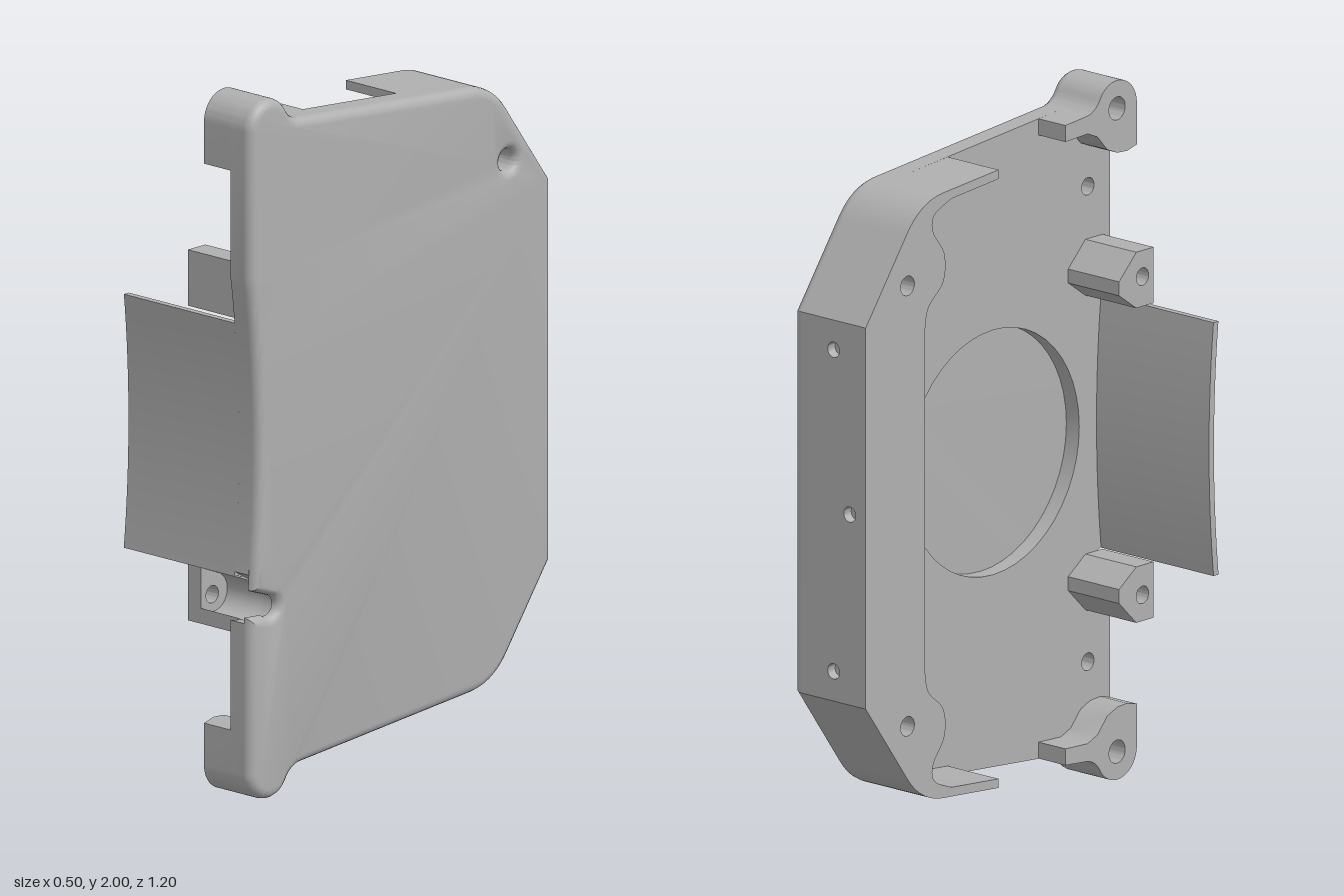
import * as THREE from 'three';
import { toCreasedNormals } from 'three/addons/utils/BufferGeometryUtils.js';

// Profiles are drawn as [-z, y] and extruded along x.
const grey = new THREE.MeshStandardMaterial({ color: 0xb0b0b0 });
grey.name = 'grey plastic';

const flip = (pts) => pts.map(([a, y]) => [a, 2 - y]).reverse();
const pairs = (vectors) => vectors.map((v) => [v.x, v.y]);

function makeShape(pts, holes = []) {
  const shape = new THREE.Shape(pts.map(([a, y]) => new THREE.Vector2(a, y)));
  for (const [a, y, r] of holes) shape.holes.push(new THREE.Path().absarc(a, y, r, 0, Math.PI * 2));
  return shape;
}

function slab(name, pts, x0, x1, holes) {
  let geo = new THREE.ExtrudeGeometry(makeShape(pts, holes), { depth: x1 - x0, bevelEnabled: false, curveSegments: 24 });
  geo = toCreasedNormals(geo, 0.5);
  geo.rotateY(Math.PI / 2).translate(x0, 0, 0);
  const mesh = new THREE.Mesh(geo, grey);
  mesh.name = name;
  return mesh;
}

// Upper half of the plate outline, from the middle of the front edge to the back
function upperOutline() {
  const p = new THREE.Path();
  p.moveTo(-0.565, 1);
  p.quadraticCurveTo(-0.565, 1.25, -0.6, 1.5);
  p.lineTo(-0.6, 1.92);
  p.absarc(-0.52, 1.92, 0.08, Math.PI, 0.5, true);
  p.quadraticCurveTo(-0.43, 1.925, -0.39, 1.922);
  p.lineTo(0.29, 1.865);
  p.quadraticCurveTo(0.38, 1.855, 0.435, 1.775);
  p.lineTo(0.6, 1.545);
  return pairs(p.getPoints(14));
}

// Open screw slot in the front edge
function slot(r, frontLow, frontHigh) {
  const pts = [[frontLow, 0.55 - r * 0.65]];
  for (let i = 0; i <= 14; i++) {
    const t = -2.2 + (3.25 * i) / 14;
    pts.push([-0.52 + r * Math.cos(t), 0.55 + r * Math.sin(t)]);
  }
  pts.push([frontHigh, 0.55 + r * 1.8]);
  return pts;
}

export function createModel() {
  const model = new THREE.Group();
  model.name = 'sideCover';
  const half = upperOutline();
  const lower = flip(half);
  const outline = (r) => [
    ...half,
    ...lower.filter(([, y]) => y <= 0.505),
    ...slot(r, -0.6, -0.583),
    ...lower.filter(([, y]) => y > 0.66 && y < 0.999),
  ];

  // Plate with a round recess on its inner side
  model.add(slab('innerPlate', outline(0.055), 0.17, 0.222, [
    [-0.125, 1, 0.35], [0.43, 1.63, 0.03], [-0.51, 1.68, 0.025], [-0.51, 0.32, 0.025],
  ]));

  // Outer skin, rounded on the outside only
  let skin = new THREE.ExtrudeGeometry(makeShape(outline(0.03), [[0.43, 1.63, 0.03]]), {
    depth: 0.001, bevelThickness: 0.028, bevelSize: 0.026, bevelOffset: -0.026, bevelSegments: 4, curveSegments: 24,
  });
  const pos = skin.attributes.position;
  for (let i = 0; i < pos.count; i++) if (pos.getZ(i) < 0) pos.setZ(i, pos.getZ(i) * 0.1);
  skin = toCreasedNormals(skin, 0.6);
  skin.rotateY(Math.PI / 2).translate(0.221, 0, 0);
  const skinMesh = new THREE.Mesh(skin, grey);
  skinMesh.name = 'outerSkin';
  model.add(skinMesh);

  // Rear wall with thin arms and bulges around its screw holes
  const outer = [[0.06, 1.884], ...half.filter(([a]) => a > 0.1), [0.57, 1.545]];
  const bulge = new THREE.SplineCurve([
    [0.25, 1.842], [0.32, 1.81], [0.325, 1.76], [0.28, 1.69], [0.285, 1.61], [0.345, 1.55], [0.36, 1.48],
  ].map(([a, y]) => new THREE.Vector2(a, y)));
  const inner = [[0.06, 1.858], ...pairs(bulge.getPoints(30))];
  model.add(slab('rearWall', [...outer, ...flip(outer), ...flip(inner).reverse(), ...inner.slice().reverse()],
    -0.02, 0.17, [[0.43, 1.63, 0.028], [0.43, 0.37, 0.028]]));

  // Back face with three blind holes
  const backShape = makeShape([[-0.02, 0.455], [0.17, 0.455], [0.17, 1.545], [-0.02, 1.545]],
    [[0.1, 1.46, 0.022], [0.04, 1, 0.022], [0.1, 0.54, 0.022]]);
  const backGeo = toCreasedNormals(new THREE.ExtrudeGeometry(backShape, { depth: 0.03, bevelEnabled: false }), 0.6);
  const back = new THREE.Mesh(backGeo.translate(0, 0, -0.6), grey);
  back.name = 'backFace';
  model.add(back);

  // Front corner lugs
  const lug = [
    [-0.6, 1.8], ...half.filter(([a, y]) => a < -0.3 && y > 1.75), [-0.31, 1.915],
    [-0.31, 1.868], [-0.4, 1.872], [-0.44, 1.855], [-0.48, 1.81], [-0.52, 1.793], [-0.56, 1.79],
  ];
  model.add(slab('upperLug', lug, 0.07, 0.17, [[-0.52, 1.92, 0.033]]));
  model.add(slab('lowerLug', flip(lug), 0.07, 0.17, [[-0.52, 0.08, 0.033]]));

  // Screw posts; the lower one has an open slot for the screw head
  const post = [[-0.57, 1.37], [-0.57, 1.53], [-0.5, 1.53], [-0.43, 1.46], [-0.43, 1.42], [-0.5, 1.37]];
  model.add(slab('upperPost', post, -0.02, 0.17, [[-0.525, 1.455, 0.025]]));
  model.add(slab('lowerPostEnd', flip(post), -0.02, 0.03, [[-0.525, 0.545, 0.025]]));
  model.add(slab('lowerPost', [
    [-0.57, 0.47], ...slot(0.055, -0.57, -0.57).slice(0, -1),
    [-0.57, 0.63], [-0.5, 0.63], [-0.43, 0.58], [-0.43, 0.54], [-0.5, 0.47],
  ], 0.03, 0.17));

  // Curved front panel
  const face = [], rear = [];
  for (let i = 0; i <= 16; i++) {
    const y = 0.635 + (0.725 * i) / 16;
    const a = -0.565 - 0.14 * (y - 1) ** 2;
    face.push([a, y]);
    rear.unshift([a + 0.02, y]);
  }
  model.add(slab('frontPanel', [...face, ...rear], -0.25, 0.17));

  return model;
}
